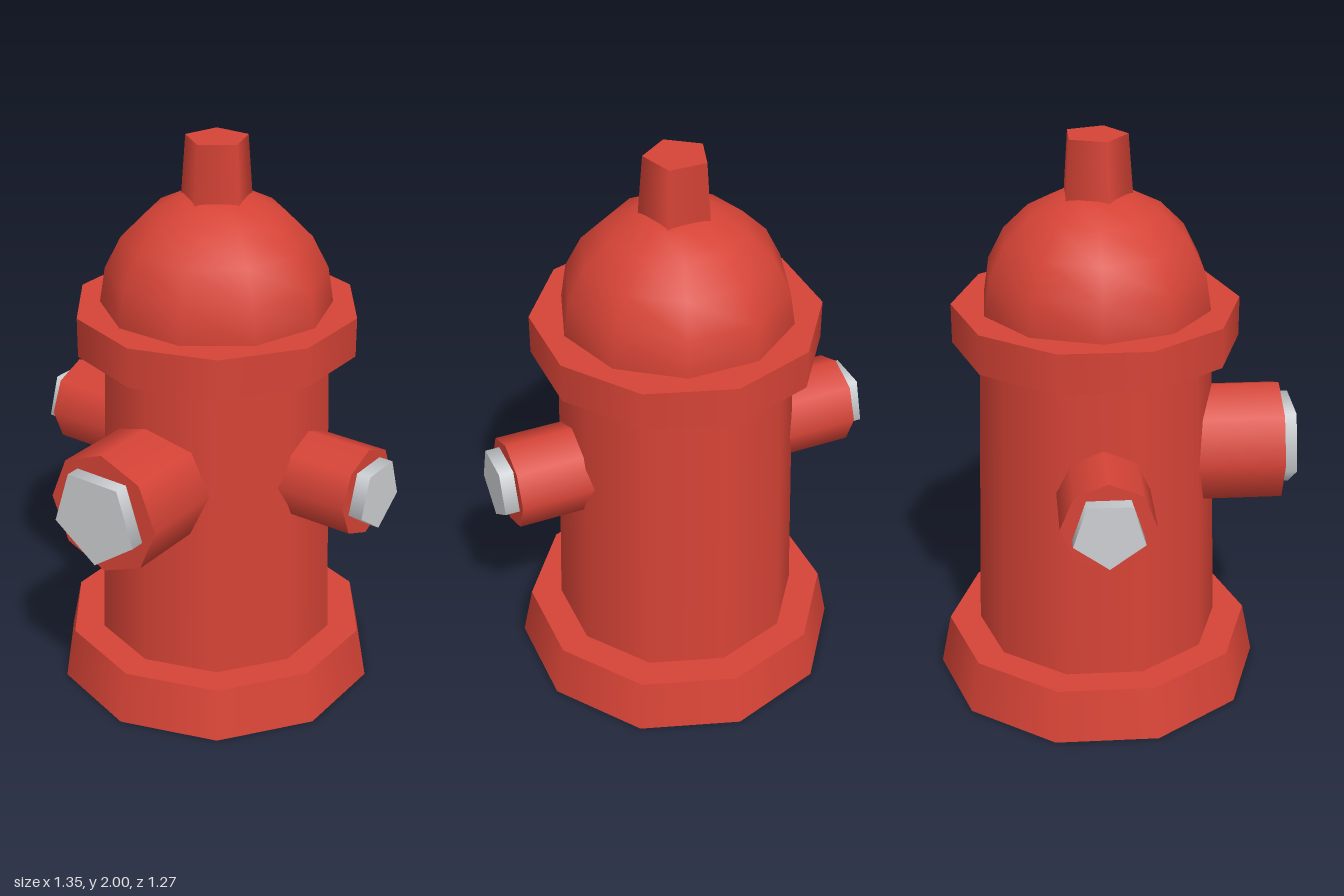
import * as THREE from 'three';

const red = new THREE.MeshStandardMaterial({ color: 0xd64336 });
const steel = new THREE.MeshStandardMaterial({ color: 0xcccfd2 });

function addMesh(parent, name, geometry, material) {
  const mesh = new THREE.Mesh(geometry, material);
  mesh.name = name;
  parent.add(mesh);
  return mesh;
}

// Upright tapered prism between heights y0 and y1
function addSection(parent, name, rBottom, rTop, y0, y1, sides) {
  const geometry = new THREE.CylinderGeometry(rTop, rBottom, y1 - y0, sides);
  geometry.translate(0, (y0 + y1) / 2, 0);
  return addMesh(parent, name, geometry, red);
}

// Prism lying along +z from z0 to z1, with one corner pointing down
function lyingPrism(radius, z0, z1, sides) {
  return new THREE.CylinderGeometry(radius, radius, z1 - z0, sides)
    .rotateX(Math.PI / 2)
    .translate(0, 0, (z0 + z1) / 2);
}

// Octagonal pipe with a five-sided steel nut on its end
function addOutlet(parent, name, radius, nutRadius, reach, angle) {
  const outlet = new THREE.Group();
  outlet.name = name;
  addMesh(outlet, 'pipe', lyingPrism(radius, 0.2, reach, 8), red);
  addMesh(outlet, 'nut', lyingPrism(nutRadius, reach - 0.05, reach + 0.05, 5), steel);
  outlet.position.y = 0.877;
  outlet.rotation.y = angle;
  parent.add(outlet);
}

export function createModel() {
  const hydrant = new THREE.Group();
  hydrant.name = 'hydrant';

  // Barrel
  addSection(hydrant, 'base', 0.58, 0.543, 0, 0.185, 10);
  addSection(hydrant, 'body', 0.432, 0.4, 0.185, 1.28, 10);
  addSection(hydrant, 'collar', 0.494, 0.494, 1.28, 1.42, 10);

  // Bonnet and operating nut
  const dome = new THREE.SphereGeometry(0.4, 10, 5, 0, Math.PI * 2, 0, Math.PI / 2);
  addMesh(hydrant, 'dome', dome, red).position.y = 1.42;
  addSection(hydrant, 'topKnob', 0.127, 0.11, 1.78, 2, 5);

  // Large front outlet and two smaller side outlets
  addOutlet(hydrant, 'frontOutlet', 0.217, 0.172, 0.643, 0);
  addOutlet(hydrant, 'leftOutlet', 0.158, 0.124, 0.627, Math.PI / 2);
  addOutlet(hydrant, 'rightOutlet', 0.158, 0.124, 0.627, -Math.PI / 2);

  // The front outlet shifts the barrel axis back from the centre
  hydrant.position.z = -0.058;
  const model = new THREE.Group();
  model.add(hydrant);
  return model;
}
